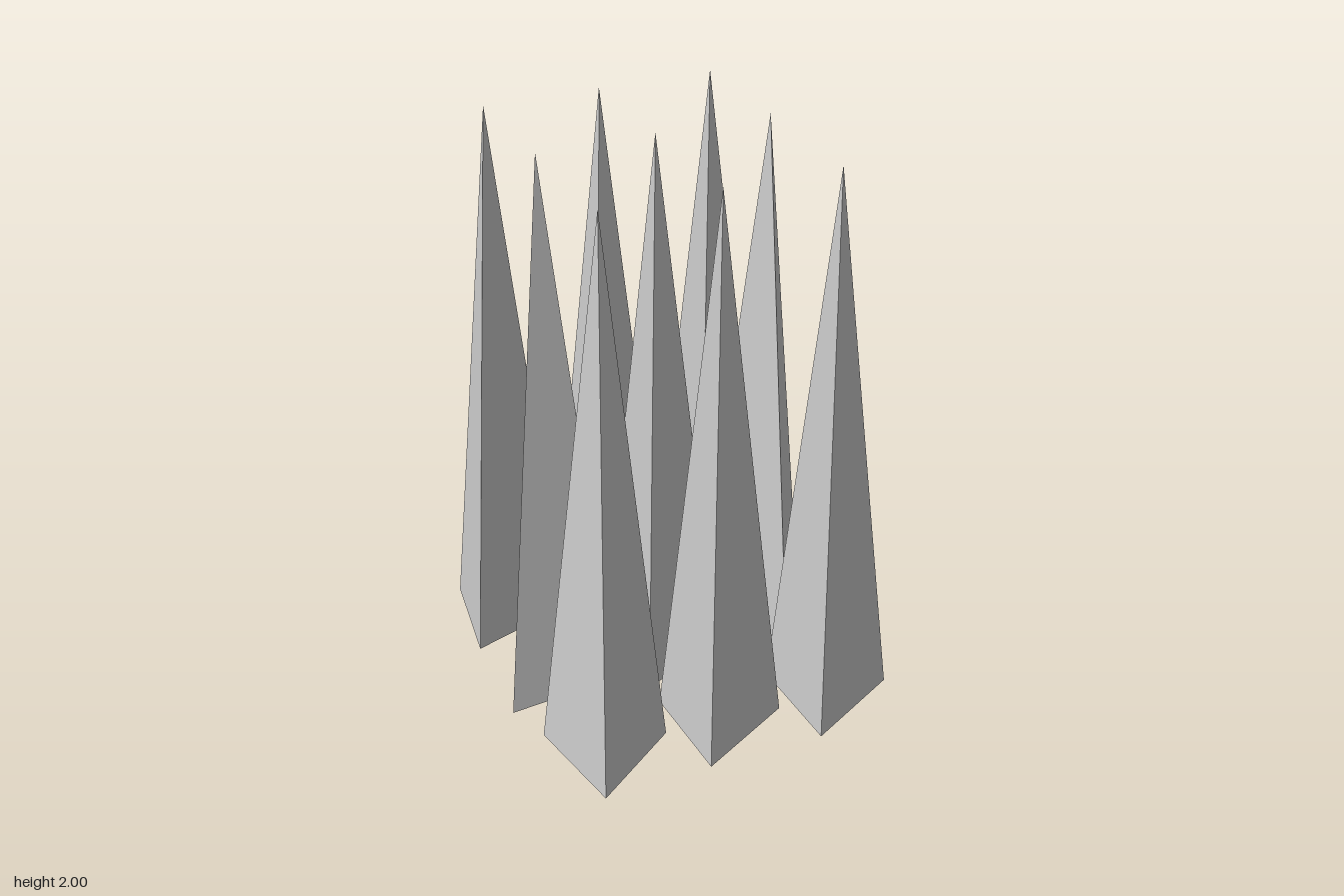
import * as THREE from 'three';

const HEIGHT = 2;
const RADIUS = 0.242;
const COLUMNS = [-0.443, -0.025, 0.392];
const ROWS = [-0.483, -0.02, 0.483];

// Turn of each spike in degrees, rows from back to front
const TURNS = [
  [10.2, 0, 0],
  [23.2, 0, -26.9],
  [-7.2, 0, 0],
];

export function createModel() {
  const model = new THREE.Group();
  model.name = 'spikes';

  const material = new THREE.MeshStandardMaterial({
    color: 0xcccccc, flatShading: true, side: THREE.DoubleSide,
  });

  // Three-sided spike, open underneath, with one corner pointing to +x
  const spikeGeometry = new THREE.ConeGeometry(RADIUS, HEIGHT, 3, 1, true, Math.PI / 2);
  spikeGeometry.translate(0, HEIGHT / 2, 0);

  ROWS.forEach((z, row) => {
    COLUMNS.forEach((x, column) => {
      const spike = new THREE.Mesh(spikeGeometry, material);
      spike.name = `spike${row * COLUMNS.length + column + 1}`;
      spike.position.set(x, 0, z);
      spike.rotation.y = -THREE.MathUtils.degToRad(TURNS[row][column]);
      model.add(spike);
    });
  });

  return model;
}
